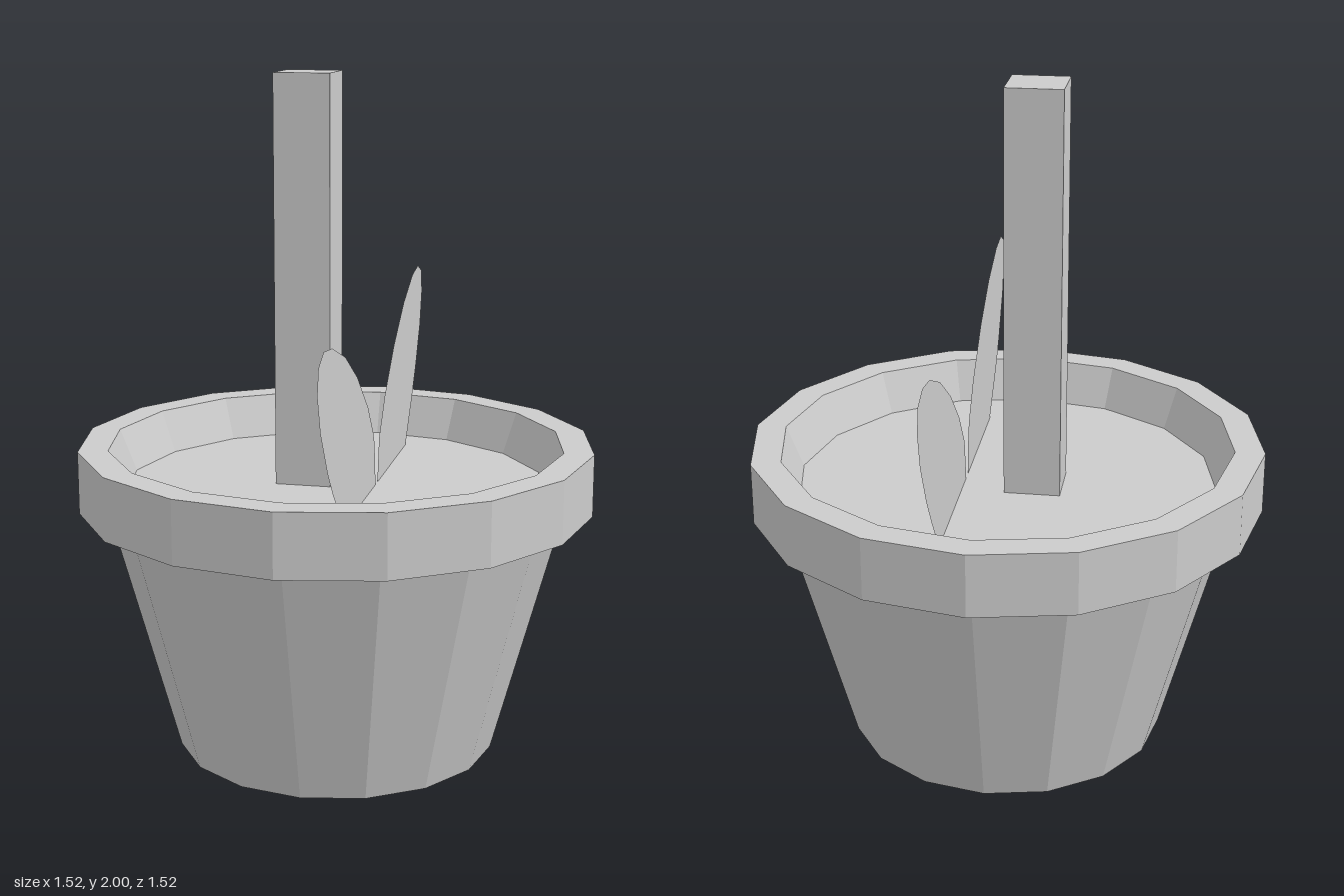
import * as THREE from 'three';

const SIDES = 16;
const SOIL_Y = 0.8;

export function createModel() {
  const model = new THREE.Group();
  const solid = new THREE.MeshStandardMaterial({ color: 0xcccccc, flatShading: true });
  const thin = new THREE.MeshStandardMaterial({ color: 0xcccccc, flatShading: true, side: THREE.DoubleSide });

  const add = (name, geometry, material = solid) => {
    const mesh = new THREE.Mesh(geometry, material);
    mesh.name = name;
    model.add(mesh);
    return mesh;
  };

  // Faceted ring turned from [radius, height] pairs
  const turned = (profile) =>
    new THREE.LatheGeometry(profile.map(([r, y]) => new THREE.Vector2(r, y)), SIDES);

  // Tapered pot body with closed base
  add('pot', turned([[0, 0], [0.475, 0], [0.675, 0.74]]));

  // Overhanging rim, with its inner wall sloping down to the soil
  add('rim', turned([[0.675, 0.74], [0.76, 0.74], [0.76, 0.925], [0.672, 0.925], [0.622, SOIL_Y]]));

  // Flat soil surface
  add('soil', turned([[0.622, SOIL_Y], [0, SOIL_Y]]));

  // Square stem
  const stemHeight = 2 - SOIL_Y;
  add('stem', new THREE.BoxGeometry(0.165, stemHeight, 0.165))
    .position.set(-0.088, SOIL_Y + stemHeight / 2, -0.023);

  // Flat upright leaves, outlined as [z, y]
  const leaves = {
    frontLeaf: [
      [0.005, 0.79], [0.024, 0.93], [0.045, 0.97], [0.12, 1.06], [0.27, 1.18], [0.43, 1.27], [0.59, 1.325],
      [0.69, 1.335], [0.75, 1.305], [0.765, 1.235], [0.73, 1.13], [0.645, 1.0], [0.58, 0.925], [0.43, 0.79],
    ],
    backLeaf: [
      [-0.02, 0.79], [-0.045, 0.93], [-0.13, 1.04], [-0.27, 1.165], [-0.43, 1.27], [-0.58, 1.335], [-0.68, 1.35],
      [-0.745, 1.325], [-0.76, 1.255], [-0.73, 1.15], [-0.655, 1.02], [-0.585, 0.925], [-0.475, 0.79],
    ],
  };
  for (const [name, outline] of Object.entries(leaves)) {
    const shape = new THREE.Shape(outline.map(([z, y]) => new THREE.Vector2(z, y)));
    const geometry = new THREE.ShapeGeometry(shape).rotateY(-Math.PI / 2);
    add(name, geometry, thin).position.x = 0.12;
  }

  return model;
}
